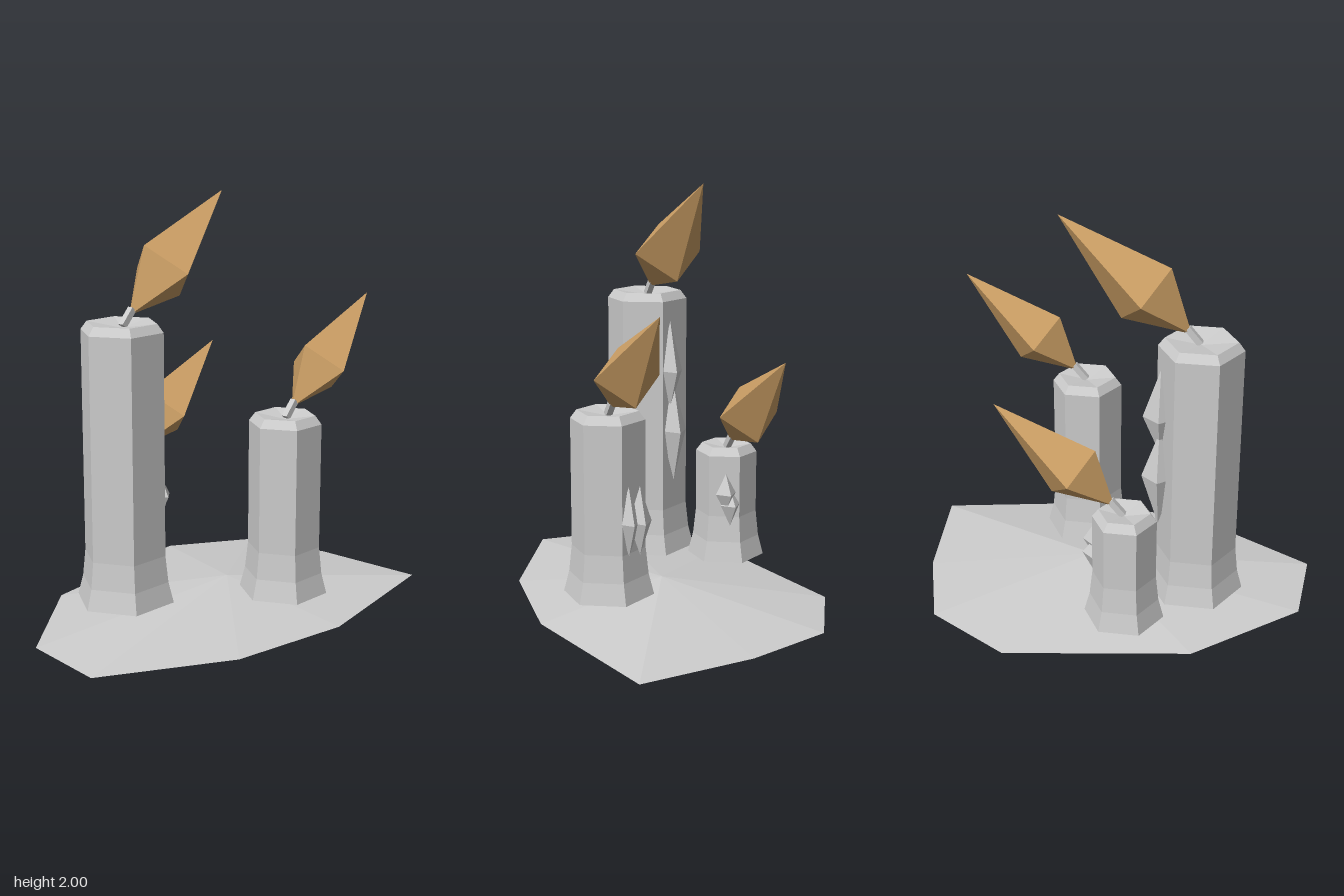
import * as THREE from 'three';
import { ConvexGeometry } from 'three/addons/geometries/ConvexGeometry.js';

const wax = new THREE.MeshStandardMaterial({ color: 0xcccccc, flatShading: true });
wax.name = 'grey wax';
const fire = new THREE.MeshStandardMaterial({ color: 0xcc9f65, flatShading: true });
fire.name = 'amber flame';

// Faceted solid of revolution with a corner on +x; profile is [radius, y] from bottom to top
function turned(profile, sides) {
  const points = profile.map(([r, y]) => new THREE.Vector2(r, y));
  return new THREE.LatheGeometry(points, sides, Math.PI / 2);
}

function add(parent, name, geometry, material, x = 0, y = 0, z = 0) {
  const mesh = new THREE.Mesh(geometry, material);
  mesh.name = name;
  mesh.position.set(x, y, z);
  parent.add(mesh);
  return mesh;
}

// r: body radius, top: rim height, flame: flame scale,
// drips: [x, z, low, middle, high, depth, half width]
const candles = [
  { name: 'tallCandle', x: -0.44, z: -0.115, r: 0.2, top: 1.44, flame: 1,
    drips: [[-0.263, -0.165, 0.86, 1.05, 1.3, 0.083, 0.065], [-0.263, -0.185, 0.48, 0.74, 0.98, 0.083, 0.068]] },
  { name: 'frontCandle', x: 0.175, z: 0.345, r: 0.175, top: 0.98, flame: 0.91,
    drips: [[0.332, 0.305, 0.32, 0.48, 0.65, 0.068, 0.057], [0.332, 0.25, 0.32, 0.48, 0.65, 0.068, 0.057]] },
  { name: 'shortCandle', x: -0.135, z: -0.42, r: 0.153, top: 0.68, flame: 0.91,
    drips: [[0.015, -0.345, 0.36, 0.46, 0.56, 0.06, 0.055], [0.015, -0.37, 0.29, 0.4, 0.48, 0.06, 0.052]] },
];

function makeCandle({ name, x, z, r, top, flame, drips }) {
  const group = new THREE.Group();
  group.name = name;

  // Hexagonal body: flared foot, bevelled rim, slightly sunken top
  add(group, 'body', turned([
    [0, 0.1], [r + 0.04, 0.1], [r + 0.014, 0.2], [r, 0.33],
    [r, top - 0.04], [r - 0.03, top], [0, top - 0.025],
  ], 6), wax, x, 0, z);

  // Leaning wick
  add(group, 'wick', new THREE.BoxGeometry(0.03, 0.095, 0.03), wax, x + 0.035, top + 0.018, z).rotation.z = -0.7;

  // Four-sided flame blown towards +x
  const blaze = add(group, 'flame', turned([[0, 0], [0.175, 0.28], [0, 0.812]], 4), fire, x + 0.047, top + 0.026, z);
  blaze.scale.setScalar(flame);
  blaze.scale.x = blaze.scale.z = flame * 0.98;
  blaze.rotation.z = -0.85;

  // Wax drips on the +x side
  for (const [dx, dz, low, mid, high, depth, width] of drips) {
    const drip = add(group, 'drip', turned([[0, low], [1, mid], [0, high]], 4), wax, dx, 0, dz);
    drip.scale.set(depth, 1, width);
  }
  return group;
}

export function createModel() {
  const model = new THREE.Group();
  model.name = 'candles';

  // Low mound of spilled wax: flat outline rising to one peak
  const outline = [
    [-0.48, -0.555], [0.41, -0.695], [0.81, -0.455], [0.94, -0.03], [0.99, 0.53],
    [0.19, 0.69], [-0.41, 0.605], [-1, 0.28], [-0.97, -0.14],
  ].map(([x, z]) => new THREE.Vector3(x, 0, z));
  add(model, 'waxPool', new ConvexGeometry([...outline, new THREE.Vector3(0.1, 0.11, 0.04)]), wax);

  for (const candle of candles) model.add(makeCandle(candle));
  return model;
}
